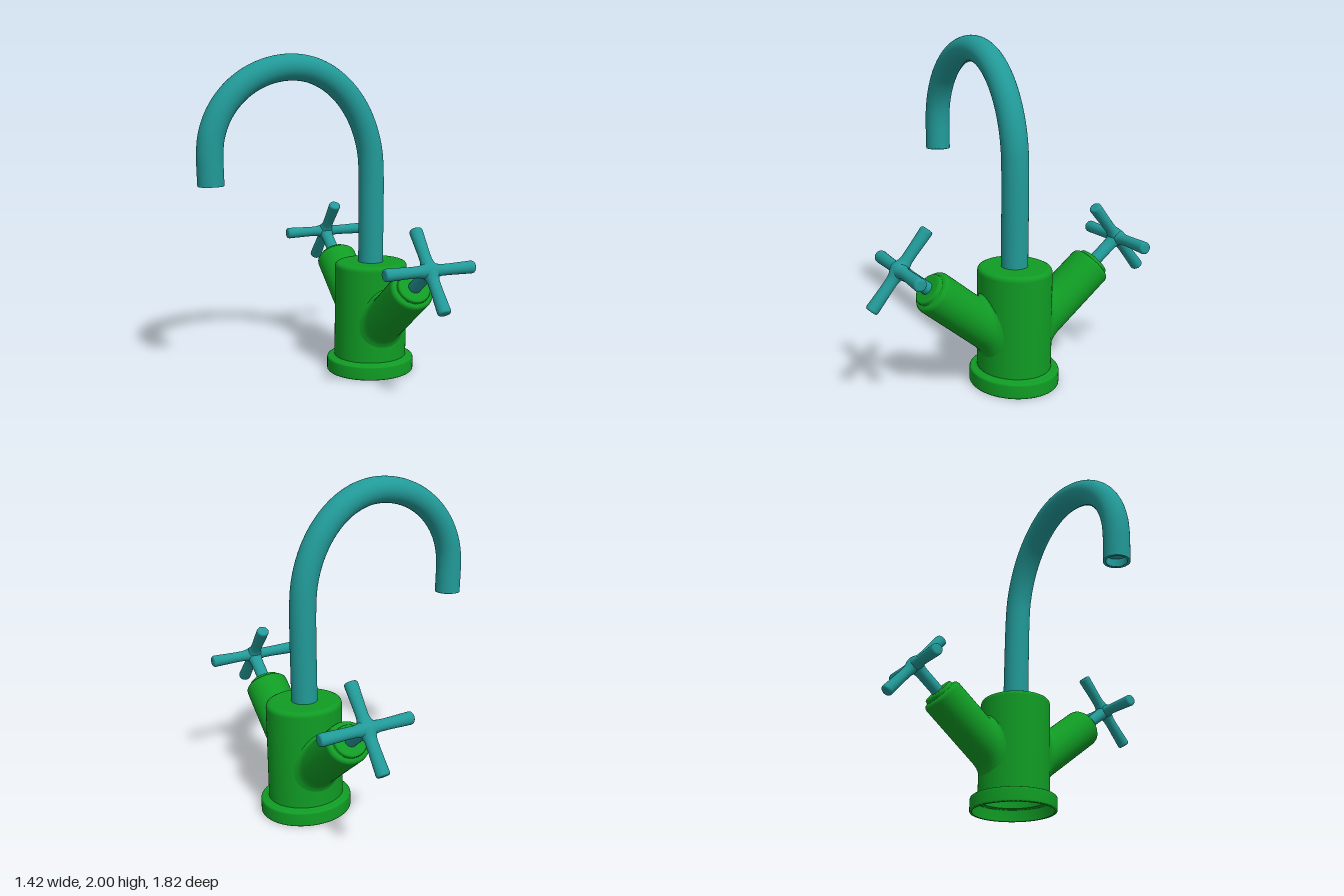
import * as THREE from 'three';

const green = new THREE.MeshStandardMaterial({ color: 0x109c24, side: THREE.DoubleSide });
const teal = new THREE.MeshStandardMaterial({ color: 0x219a98, side: THREE.DoubleSide });

const BODY_R = 0.215;               // radius of the main column
const TILT = THREE.MathUtils.degToRad(51); // valve axis, measured from vertical
const AXIS_Y = 0.207;               // height where both valve axes meet

function add(parent, name, geometry, material) {
  const mesh = new THREE.Mesh(geometry, material);
  mesh.name = name;
  parent.add(mesh);
  return mesh;
}

function lathe(points, segments) {
  return new THREE.LatheGeometry(points.map(([r, y]) => new THREE.Vector2(r, y)), segments);
}

// Valve arm: a turned barrel whose flared root is fitted to the round column
function armGeometry() {
  const geo = lathe([
    [0.15, 0], [0.136, 0.012], [0.128, 0.03], [0.125, 0.06], [0.125, 0.5], [0.125, 0.665],
    [0.122, 0.678], [0.115, 0.687], [0.105, 0.69], [0.097, 0.691], [0.094, 0.694],
    [0.094, 0.706], [0.091, 0.712], [0.084, 0.715], [0.07, 0.715], [0, 0.715],
  ], 48);
  const p = geo.attributes.position;
  for (let i = 0; i < p.count; i++) {
    if (p.getY(i) > 0.1) continue;
    const x = p.getX(i), z = p.getZ(i);
    const start = (Math.sqrt(BODY_R ** 2 - x * x) - z * Math.cos(TILT)) / Math.sin(TILT);
    p.setY(i, p.getY(i) + start - 0.004);
  }
  geo.computeVertexNormals();
  return geo;
}

// Cross handle: four spokes and a stem that all flare into the hub
function makeHandle() {
  const handle = new THREE.Group();
  handle.name = 'crossHandle';
  const spoke = lathe([
    [0.05, 0], [0.046, 0.025], [0.038, 0.045], [0.033, 0.07], [0.033, 0.12],
    [0.037, 0.253], [0.035, 0.262], [0.03, 0.267], [0.02, 0.268], [0, 0.268],
  ], 24);
  for (let k = 0; k < 4; k++) {
    add(handle, 'spoke', spoke, teal).rotation.set(Math.PI / 2, 0, k * Math.PI / 2);
  }
  const stem = lathe([[0.05, 0], [0.046, 0.025], [0.039, 0.05], [0.037, 0.08], [0.037, 0.22]], 24);
  add(handle, 'stem', stem, teal).rotation.x = Math.PI;
  add(handle, 'hub', new THREE.SphereGeometry(0.048, 24, 16), teal);
  return handle;
}

function makeValve() {
  const valve = new THREE.Group();
  valve.name = 'valve';
  const axis = new THREE.Group();
  axis.name = 'valveAxis';
  axis.position.y = AXIS_Y;
  axis.rotation.x = TILT;
  add(axis, 'valveArm', armGeometry(), green);
  const handle = makeHandle();
  handle.position.y = 0.922;
  axis.add(handle);
  valve.add(axis);
  return valve;
}

// Swan-neck spout: straight riser, two quarter ellipses, short drop
function makeSpout() {
  const spout = new THREE.Group();
  spout.name = 'spout';
  const pts = [];
  for (const y of [0.68, 0.9, 1.1]) pts.push(new THREE.Vector3(0.417, y, 0));
  for (let i = 0; i <= 16; i++) {
    const a = i * Math.PI / 16;
    const right = i <= 8;
    const drop = right ? 0.65 : 0.5;
    pts.push(new THREE.Vector3(
      -0.11 + 0.524 * Math.cos(a), 1.922 - drop + drop * Math.sin(a), 0));
  }
  pts.push(new THREE.Vector3(-0.633, 1.33, 0), new THREE.Vector3(-0.63, 1.238, 0));
  const path = new THREE.CatmullRomCurve3(pts);
  add(spout, 'neck', new THREE.TubeGeometry(path, 120, 0.079, 32), teal);

  // Outlet lip with a recessed face
  const lip = add(spout, 'outletLip', new THREE.RingGeometry(0.062, 0.079, 32), teal);
  lip.position.copy(pts[pts.length - 1]);
  const bore = add(spout, 'outletBore', new THREE.CylinderGeometry(0.062, 0.062, 0.05, 32, 1, true), teal);
  bore.position.set(-0.631, 1.263, 0);
  const face = add(spout, 'outletFace', new THREE.CircleGeometry(0.064, 32), teal);
  face.position.set(-0.631, 1.288, 0);
  lip.rotation.x = face.rotation.x = Math.PI / 2;
  return spout;
}

export function createModel() {
  const model = new THREE.Group();
  model.name = 'mixerTap';

  const base = new THREE.Group();
  base.name = 'tapBody';
  base.position.x = 0.42;
  base.scale.x = 1.08;

  // Hollow column with a rounded top edge
  add(base, 'column', lathe([
    [BODY_R, 0.075], [BODY_R, 0.3], [BODY_R, 0.675], [0.212, 0.69], [0.205, 0.699],
    [0.193, 0.705], [0.18, 0.706], [0, 0.706],
  ], 64), green);

  // Foot flange, open underneath
  add(base, 'footFlange', lathe([
    [0.244, 0], [0.257, 0], [0.26, 0.004], [0.26, 0.012], [0.26, 0.076], [0.257, 0.084],
    [0.25, 0.089], [0.24, 0.09], [0.225, 0.091], [BODY_R, 0.098],
  ], 64), green);
  add(base, 'flangeInside', lathe([
    [0.244, 0], [0.244, 0.07], [0.24, 0.075], [0.21, 0.075],
  ], 64), green);

  // Front and back valves
  for (const turn of [0, Math.PI]) {
    const valve = makeValve();
    valve.rotation.y = turn;
    base.add(valve);
  }

  model.add(base, makeSpout());
  return model;
}
